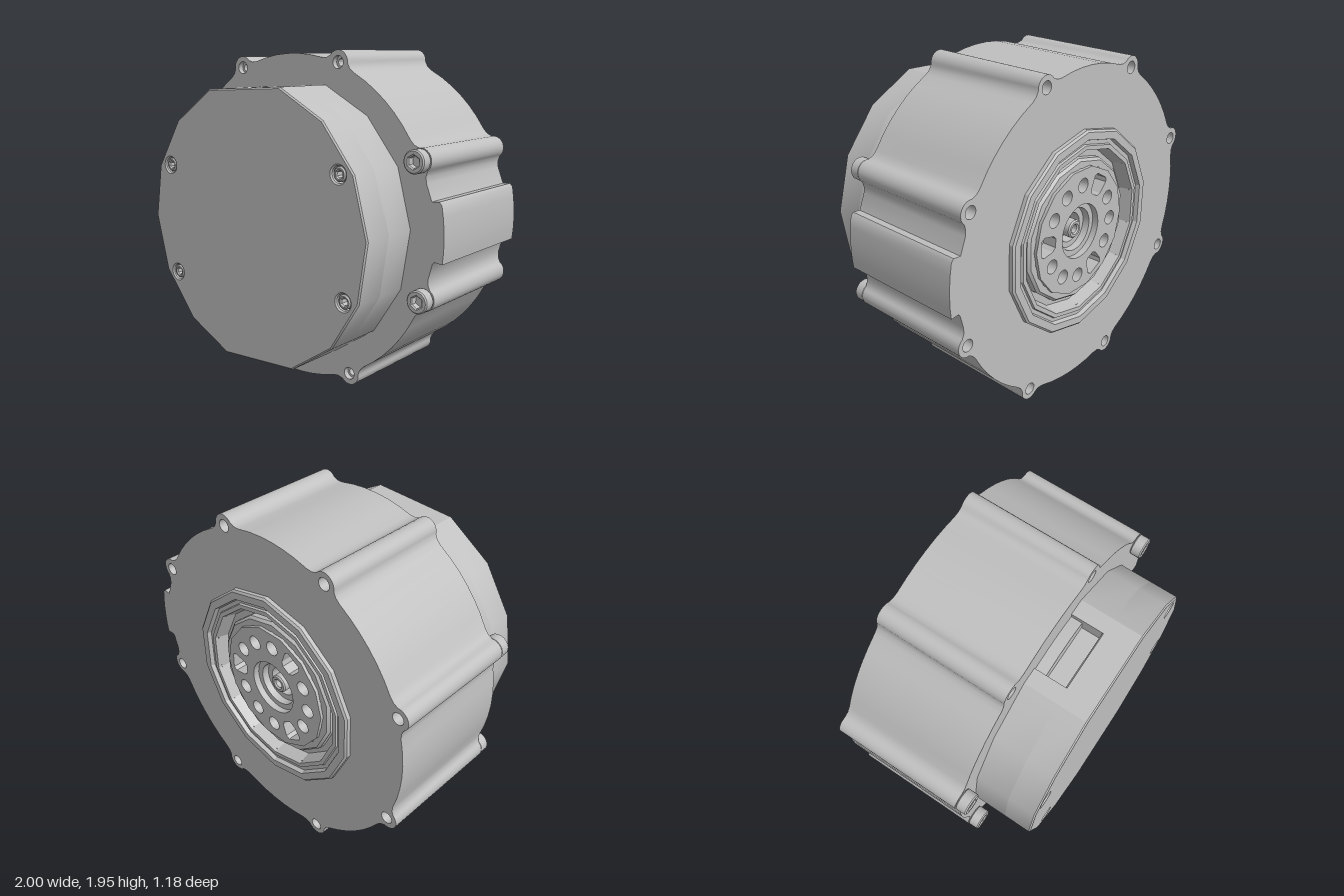
import * as THREE from 'three';
import { toCreasedNormals } from 'three/addons/utils/BufferGeometryUtils.js';

const rad = THREE.MathUtils.degToRad;
const polar = (deg, r) => new THREE.Vector2(r * Math.cos(rad(deg)), r * Math.sin(rad(deg)));
const ngon = (n, r, c = new THREE.Vector2(), start = 0) =>
  Array.from({ length: n }, (_, i) => polar(start + (i * 360) / n, r).add(c));

export function createModel() {
  const metal = new THREE.MeshStandardMaterial({ color: 0xbfbfbf });
  metal.name = 'greyMetal';
  const model = new THREE.Group();
  model.name = 'actuator';
  // everything is built around the motor axis
  model.position.set(-0.025, 0.983, 0);

  const add = (name, geo, crease = 0.5) => {
    const mesh = new THREE.Mesh(toCreasedNormals(geo, crease), metal);
    mesh.name = name;
    model.add(mesh);
    return mesh;
  };

  // prism along z from an outline and hole outlines, with optional edge chamfer
  const prism = (name, outline, holes, z0, z1, bevel = 0, crease = 0.5) => {
    const shape = new THREE.Shape(outline);
    holes.forEach((h) => shape.holes.push(new THREE.Path(h)));
    const geo = new THREE.ExtrudeGeometry(shape, {
      depth: z1 - z0 - 2 * bevel, bevelEnabled: bevel > 0, bevelSize: bevel,
      bevelThickness: bevel, bevelOffset: -bevel, bevelSegments: 1,
    });
    geo.translate(0, 0, z0 + bevel);
    return add(name, geo, crease);
  };

  // turned part about z; the profile runs from the axis outward on the back side
  const turned = (name, pts, n, crease = 0.4) =>
    add(name, new THREE.LatheGeometry(pts.map(([r, z]) => new THREE.Vector2(r, z)), n).rotateX(Math.PI / 2), crease);

  // socket screw: head with a hexagonal recess
  const screw = (name, c, r, z0, z1, hex) => {
    prism(name, ngon(24, r, c), [ngon(6, hex, c, 30)], z0, z1, 0.007);
    prism(name + 'Floor', ngon(12, r * 0.9, c), [], z0, z0 + (z1 - z0) * 0.4);
  };

  // Housing outline: circle with eight filleted bosses and a side tab
  const R = 0.957, bossR = 0.964;
  const bosses = Array.from({ length: 8 }, (_, i) => -19.5 + 45 * i);
  const outline = [];
  bosses.forEach((a, i) => {
    outline.push(polar(a - 7.2, R), polar(a - 5.2, 0.965));
    for (let p = -75; p <= 75; p += 15) {
      outline.push(polar(a + p, 0.067).add(polar(a, bossR)));
    }
    outline.push(polar(a + 5.2, 0.965), polar(a + 7.2, R));
    if (i === 0) {
      outline.push(polar(-7.2, 0.965), polar(-6.4, 0.975), polar(-6.4, 1.023));
      for (let t = -3; t <= 11; t += 3.5) outline.push(polar(t, 1.024));
      outline.push(polar(12.2, 1.012), polar(12.5, 0.967));
    } else {
      for (let t = 12.5; t < 37; t += 5) outline.push(polar(a + t, R));
    }
  });
  const bossHoles = bosses.map((a) => ngon(18, 0.036, polar(a, bossR)));
  prism('housing', outline, [ngon(14, 0.5), ...bossHoles], -0.562, 0.213, 0, 0.6);

  // Fasteners in the bosses: raised on the two sides, sunk above and below
  bosses.forEach((a, i) => {
    const c = polar(a, bossR);
    if (i % 4 < 2) screw('housingScrew', c, 0.064, 0.213, 0.282, 0.034);
    prism('bossThread', ngon(18, 0.037, c), [ngon(12, 0.022, c)], -0.5, 0.18);
    prism('bossPlug', ngon(12, 0.03, c), [], -0.4, 0.1);
  });

  // Front cover: faceted drum with a flat above and below
  const coverAngles = [3, 27, 50, 73.5, 112, 136, 159.5, 182, 206.5, 231.5, 254.7, 292, 316, 339];
  const cover = coverAngles.map((a) => polar(a, 0.818));
  const coverScrews = [30, 156, 210, 336].map((a) => polar(a, 0.728));
  prism('coverFront', cover, coverScrews.map((c) => ngon(20, 0.046, c)), 0.4, 0.59, 0.008);
  coverScrews.forEach((c) => screw('coverScrew', c, 0.04, 0.5, 0.583, 0.02));

  // rear half of the cover, notched for the cable openings in both flats
  const notched = [];
  coverAngles.forEach((a, i) => {
    notched.push(cover[i]);
    if (a === 73.5 || a === 254.7) {
      const next = cover[i + 1];
      const mid = cover[i].clone().add(next).multiplyScalar(0.5);
      const along = next.clone().sub(cover[i]).normalize().multiplyScalar(0.174);
      const inward = mid.clone().normalize().multiplyScalar(-0.1);
      notched.push(
        mid.clone().sub(along), mid.clone().sub(along).add(inward),
        mid.clone().add(along).add(inward), mid.clone().add(along),
      );
    }
  });
  prism('coverRear', notched, [], 0.21, 0.418);
  prism('coverSeat', ngon(56, 0.76), [], 0.205, 0.28);

  // Rear bearing ring, stepped and faceted
  turned('rearRing', [
    [0.40, -0.5], [0.475, -0.5], [0.495, -0.582], [0.52, -0.582], [0.525, -0.57],
    [0.548, -0.57], [0.556, -0.595], [0.6, -0.595], [0.612, -0.585], [0.612, -0.555],
  ], 14);

  // Output flange with nine bolt holes and three slots
  const flangeHoles = [];
  for (let k = 0; k < 12; k++) {
    const a = 2 + 30 * k;
    flangeHoles.push(k % 4 === 0
      ? [polar(a - 7, 0.225), polar(a + 7, 0.225), polar(a + 11, 0.25), polar(a + 11, 0.325),
        polar(a + 8, 0.345), polar(a - 8, 0.345), polar(a - 11, 0.325), polar(a - 11, 0.25)]
      : ngon(18, 0.043, polar(a, 0.28)));
  }
  prism('outputFlange', ngon(14, 0.385), [ngon(28, 0.165), ...flangeHoles], -0.568, -0.47);
  turned('flangeRim', [[0.38, -0.55], [0.42, -0.55], [0.435, -0.535], [0.435, -0.49]], 14);
  prism('flangeFloor', ngon(28, 0.42), [ngon(28, 0.15)], -0.48, -0.45);

  // Stepped centre bore with the hollow shaft end
  turned('centreBore', [
    [0, -0.43], [0.085, -0.43], [0.09, -0.49], [0.125, -0.49], [0.13, -0.53], [0.17, -0.53],
  ], 28);
  prism('shaftEnd', ngon(20, 0.055), [ngon(16, 0.025)], -0.53, -0.42, 0.008);
  prism('shaftFloor', ngon(16, 0.04), [], -0.48, -0.43);

  return model;
}
